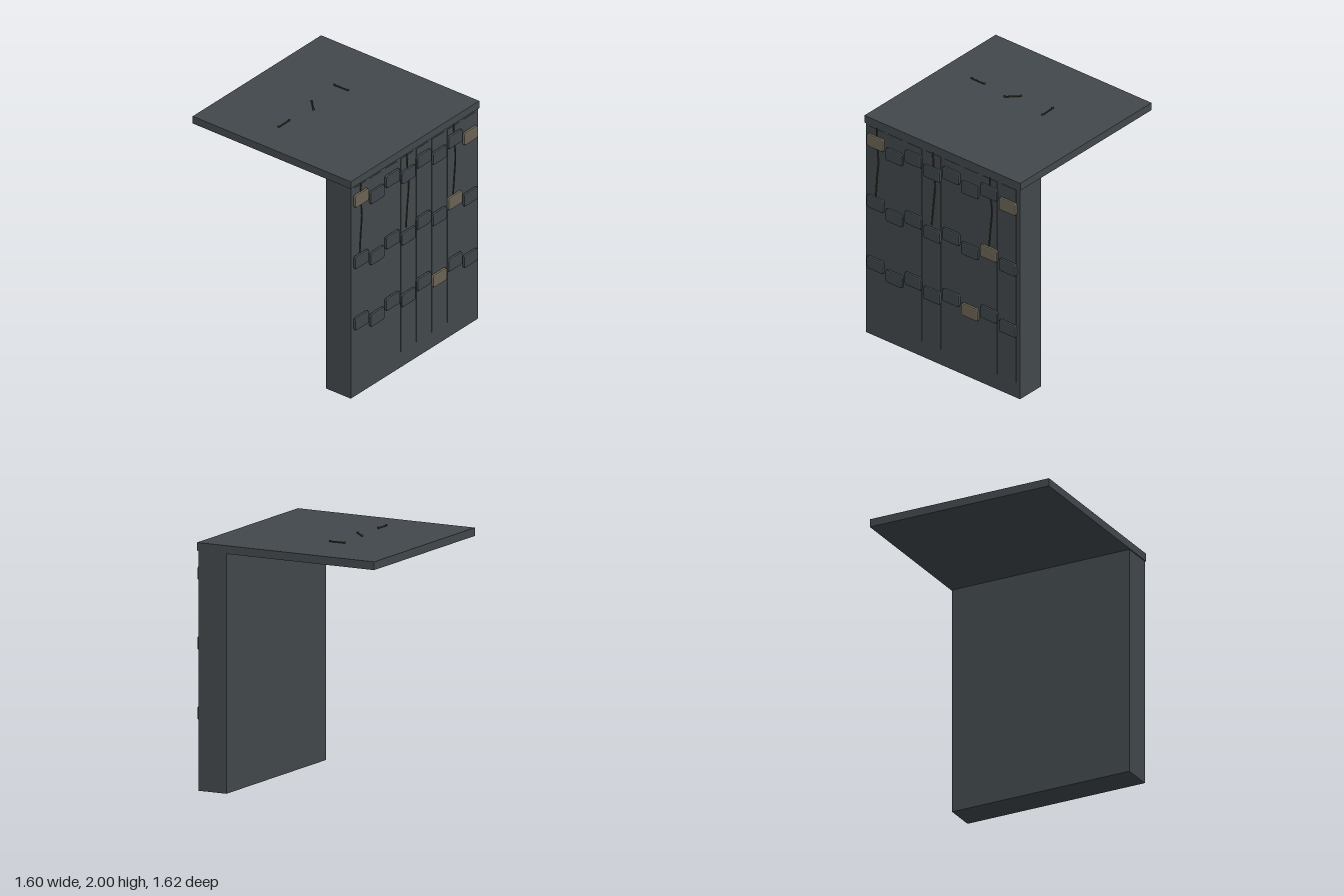
import * as THREE from 'three';

const material = (name, color) => {
  const m = new THREE.MeshStandardMaterial({ color });
  m.name = name;
  return m;
};

export function createModel() {
  const group = new THREE.Group();
  const slate = material('slate', 0x42484c);
  const stone = material('stone', 0x3e4549);
  const tan = material('tan', 0x6a6454);
  const vineBrown = material('vine brown', 0x383328);

  const add = (name, geometry, mat, x = 0, y = 0, z = 0, parent = group) => {
    const mesh = new THREE.Mesh(geometry, mat);
    mesh.name = name;
    mesh.position.set(x, y, z);
    parent.add(mesh);
    return mesh;
  };

  // Wall and overhanging slab
  add('wall', new THREE.BoxGeometry(1.58, 1.916, 0.252), slate, 0, 0.958, 0.656);
  add('slab', new THREE.BoxGeometry(1.596, 0.066, 1.594), slate, 0, 1.949, -0.008);

  // Rounded block with a bevelled front rim
  const w = 0.076, h = 0.046, r = 0.012;
  const outline = new THREE.Shape();
  outline.moveTo(-w + r, -h);
  outline.lineTo(w - r, -h).quadraticCurveTo(w, -h, w, -h + r);
  outline.lineTo(w, h - r).quadraticCurveTo(w, h, w - r, h);
  outline.lineTo(-w + r, h).quadraticCurveTo(-w, h, -w, h - r);
  outline.lineTo(-w, -h + r).quadraticCurveTo(-w, -h, -w + r, -h);
  const blockGeometry = new THREE.ExtrudeGeometry(outline, {
    depth: 0.004, bevelThickness: 0.012, bevelSize: 0.011, bevelSegments: 2, curveSegments: 3,
  });

  // Shallow wall panels and three staggered rows of blocks
  const panelGeometry = new THREE.BoxGeometry(0.15, 1.76, 0.004);
  const tanBlocks = ['0,0', '0,7', '1,6', '2,5'];
  for (let col = 0; col < 8; col++) {
    const x = (col - 3.5) * 0.1935;
    add('wallPanel', panelGeometry, slate, x, 1.02, 0.783);
    [1.784, 1.226, 0.667].forEach((y, row) => {
      const isTan = tanBlocks.includes(`${row},${col}`);
      add(isTan ? 'tanBlock' : 'stoneBlock', blockGeometry, isTan ? tan : stone,
        x, y - (col % 2) * 0.055, 0.794);
    });
  }

  // Thin vines hanging down the wall
  const vines = [
    [[-0.675, 1.915], [-0.67, 1.76], [-0.658, 1.61], [-0.672, 1.45], [-0.685, 1.26]],
    [[-0.1, 1.915], [-0.09, 1.76], [-0.076, 1.62], [-0.092, 1.45], [-0.11, 1.25]],
    [[0.482, 1.915], [0.49, 1.76], [0.505, 1.62], [0.492, 1.45], [0.474, 1.26]],
  ];
  for (const points of vines) {
    const curve = new THREE.CatmullRomCurve3(points.map(([x, y]) => new THREE.Vector3(x, y, 0.787)));
    add('vine', new THREE.TubeGeometry(curve, 24, 0.006, 6), vineBrown);
  }

  // Small rods with knobbed ends lying on the slab
  const rodGeometry = new THREE.CylinderGeometry(0.006, 0.006, 0.128, 8).rotateZ(Math.PI / 2);
  const knobGeometry = new THREE.SphereGeometry(0.009, 10, 8);
  [[-0.445, -0.172, 0], [-0.089, -0.172, Math.PI / 4], [0.267, -0.172, Math.PI / 2 + 0.03]]
    .forEach(([x, z, turn]) => {
      const rod = new THREE.Group();
      rod.name = 'knobbedRod';
      rod.position.set(x, 1.988, z);
      rod.rotation.y = turn;
      add('rodShaft', rodGeometry, vineBrown, 0, 0, 0, rod);
      for (const side of [-1, 1]) add('rodKnob', knobGeometry, vineBrown, side * 0.064, 0.003, 0, rod);
      group.add(rod);
    });

  return group;
}
